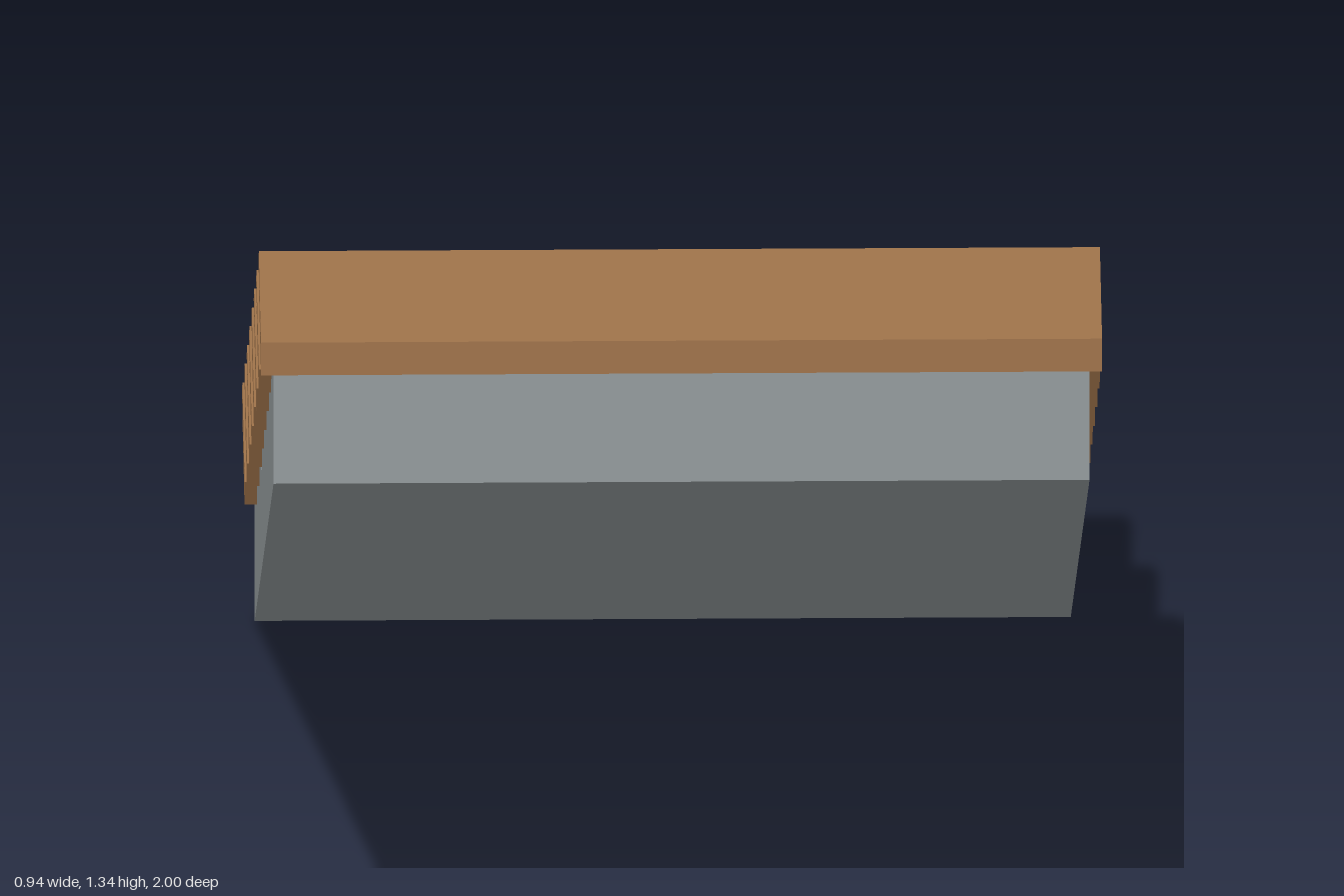
import * as THREE from 'three';

const STEPS = 8, RISE = 0.148, RUN = 0.2465;
const HALF_BODY = 0.457, HALF_TREAD = 0.471;

// Worn spots on the nosings: x, pull-back of the top crease, of the tip, drop of the lower lip
const WEAR = {
  1: { x: -0.05, crease: 0.05, tip: 0.02, drop: 0 },
  3: { x: 0.27, crease: 0.018, tip: 0.04, drop: 0 },
  5: { x: -0.2, crease: 0.015, tip: 0.016, drop: 0.025 },
};

// Saw-toothed side outline extruded across the width
function bodyGeometry() {
  const shape = new THREE.Shape();
  shape.moveTo(-0.97, 0);
  shape.lineTo(1, 1.167);
  shape.lineTo(1, 0.267 + RISE * (STEPS - 1));
  for (let i = STEPS - 1; i >= 0; i--) {
    const z = -0.97 + RUN * i;
    shape.lineTo(z, 0.267 + RISE * i);
    if (i > 0) shape.lineTo(z, 0.267 + RISE * (i - 1));
  }
  const geo = new THREE.ExtrudeGeometry(shape, { depth: HALF_BODY * 2, bevelEnabled: false });
  geo.translate(0, 0, -HALF_BODY);
  geo.rotateY(-Math.PI / 2);
  return geo;
}

// Cross-section of a tread at x: flat top, sloping nose, undercut lip
function treadRing(x, i, wear, pull, creasePull) {
  const z = RUN * i, y = RISE * i;
  const last = i === STEPS - 1;
  const lipX = THREE.MathUtils.clamp(x, -HALF_BODY, HALF_BODY);
  return [
    [x, y + 0.308, last ? 1 : z - 0.705],
    [x, y + 0.308, z - 0.953 + wear.crease * creasePull],
    [x, y + 0.272, z - 0.998 + wear.tip * pull],
    [lipX, y + 0.245 - wear.drop * pull, z - 0.971],
    [x, y + 0.267, z - 0.945],
    [x, y + 0.267, last ? 1 : z - 0.73],
  ];
}

function treadGeometry(i) {
  const wear = WEAR[i] || { x: 0, crease: 0, tip: 0, drop: 0 };
  const rings = [
    treadRing(-HALF_TREAD, i, wear, 0, 0),
    treadRing(wear.x - 0.07, i, wear, 0.6, 0.3),
    treadRing(wear.x, i, wear, 1, 1),
    treadRing(wear.x + 0.07, i, wear, 0.6, 0.3),
    treadRing(HALF_TREAD, i, wear, 0, 0),
  ];
  const pos = [];
  const tri = (a, b, c) => pos.push(...a, ...b, ...c);
  const n = rings[0].length;
  for (let s = 0; s < rings.length - 1; s++) {
    for (let j = 0; j < n; j++) {
      const k = (j + 1) % n;
      const a = rings[s][j], b = rings[s][k], c = rings[s + 1][k], d = rings[s + 1][j];
      tri(a, d, c);
      tri(a, c, b);
    }
  }
  // End caps
  const left = rings[rings.length - 1], right = rings[0];
  for (let j = 1; j < n - 1; j++) {
    tri(right[0], right[j], right[j + 1]);
    tri(left[0], left[j + 1], left[j]);
  }
  const geo = new THREE.BufferGeometry();
  geo.setAttribute('position', new THREE.Float32BufferAttribute(pos, 3));
  geo.computeVertexNormals();
  return geo;
}

export function createModel() {
  const stone = new THREE.MeshStandardMaterial({ color: 0x959c9e });
  stone.name = 'grey stone';
  const wood = new THREE.MeshStandardMaterial({ color: 0xa0744b });
  wood.name = 'brown wood';

  const group = new THREE.Group();
  group.name = 'staircase';

  const body = new THREE.Mesh(bodyGeometry(), stone);
  body.name = 'stairBody';
  group.add(body);

  for (let i = 0; i < STEPS; i++) {
    const tread = new THREE.Mesh(treadGeometry(i), wood);
    tread.name = `tread${i + 1}`;
    group.add(tread);
  }
  return group;
}
